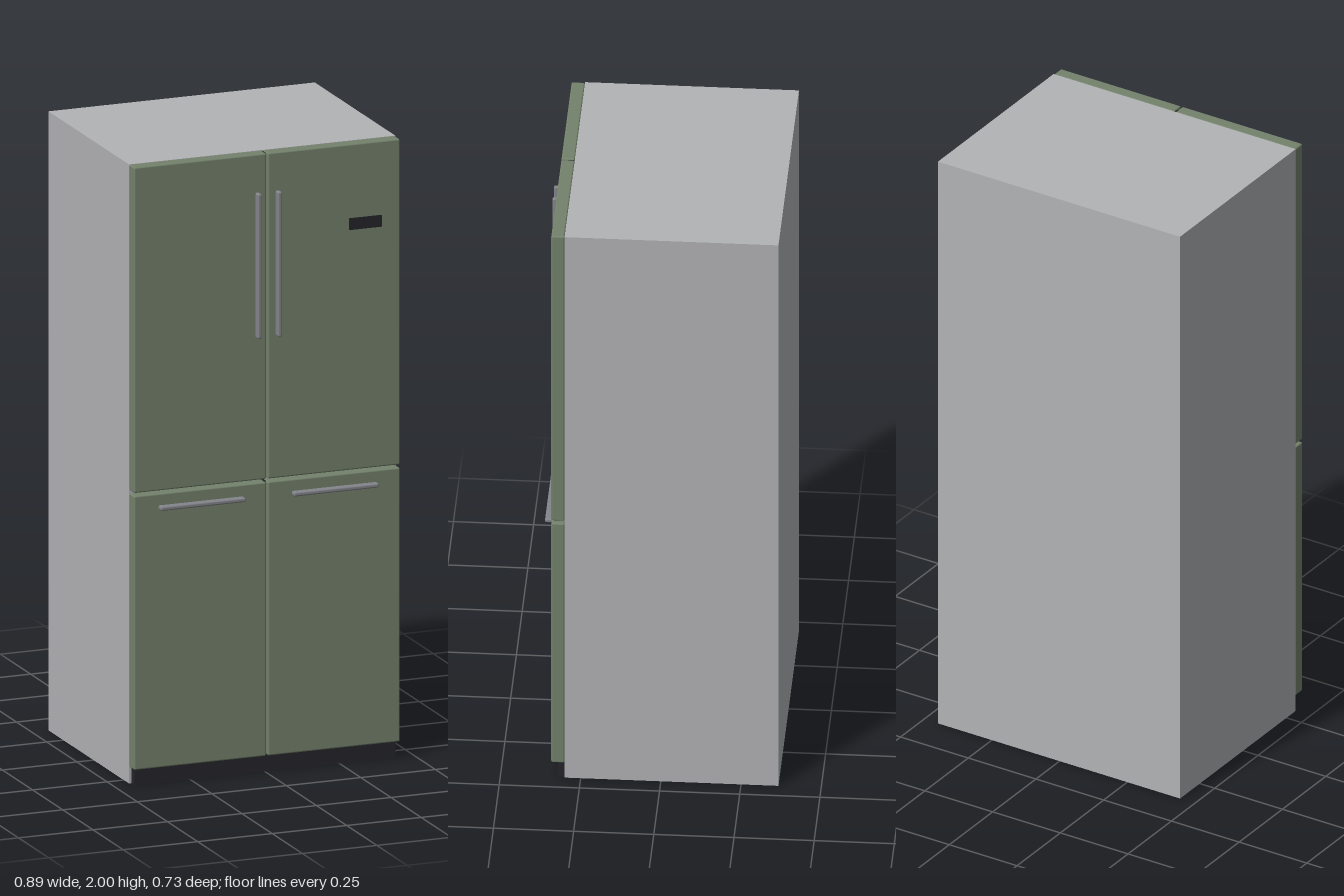
import * as THREE from 'three';
import { RoundedBoxGeometry } from 'three/addons/geometries/RoundedBoxGeometry.js';

const material = (name, color) => {
  const m = new THREE.MeshStandardMaterial({ color });
  m.name = name;
  return m;
};

export function createModel() {
  const green = material('sage green', 0x74826c);
  const grey = material('cabinet grey', 0xb2b3b5);
  const steel = material('handle steel', 0x84858b);
  const dark = material('dark trim', 0x25252b);

  const model = new THREE.Group();
  model.name = 'refrigerator';

  // Box given by its limits on each axis; a radius rounds the edges
  function box(name, mat, [x0, x1], [y0, y1], [z0, z1], radius = 0) {
    const size = [x1 - x0, y1 - y0, z1 - z0];
    const geometry = radius
      ? new RoundedBoxGeometry(...size, 3, radius)
      : new THREE.BoxGeometry(...size);
    const mesh = new THREE.Mesh(geometry, mat);
    mesh.name = name;
    mesh.position.set((x0 + x1) / 2, (y0 + y1) / 2, (z0 + z1) / 2);
    model.add(mesh);
  }

  // Cabinet, toe kick and the seal behind the middle gap
  box('cabinet', grey, [-0.447, 0.447], [0.002, 2], [-0.367, 0.3]);
  box('toeKick', dark, [-0.438, 0.438], [0, 0.054], [0.3, 0.322]);
  box('upperCenterSeal', dark, [-0.004, 0.004], [0.95, 1.996], [0.3, 0.32]);
  box('lowerCenterSeal', dark, [-0.004, 0.004], [0.056, 0.938], [0.3, 0.32]);

  // Doors and handles, mirrored left and right
  for (const [side, s] of [['left', 1], ['right', -1]]) {
    const span = (a, b) => (s > 0 ? [a, b] : [-b, -a]);
    const doorZ = [0.3, 0.342];
    const handleZ = [0.342, 0.367];
    box(side + 'UpperDoor', green, span(0.003, 0.446), [0.949, 2], doorZ, 0.005);
    box(side + 'LowerDoor', green, span(0.003, 0.446), [0.055, 0.939], doorZ, 0.005);
    box(side + 'UpperHandle', steel, span(0.027, 0.041), [1.41, 1.878], handleZ, 0.005);
    box(side + 'LowerHandle', steel, span(0.081, 0.366), [0.889, 0.903], handleZ, 0.005);
  }

  // Control display on the left upper door
  box('display', dark, [0.274, 0.384], [1.724, 1.762], [0.341, 0.344]);

  return model;
}
